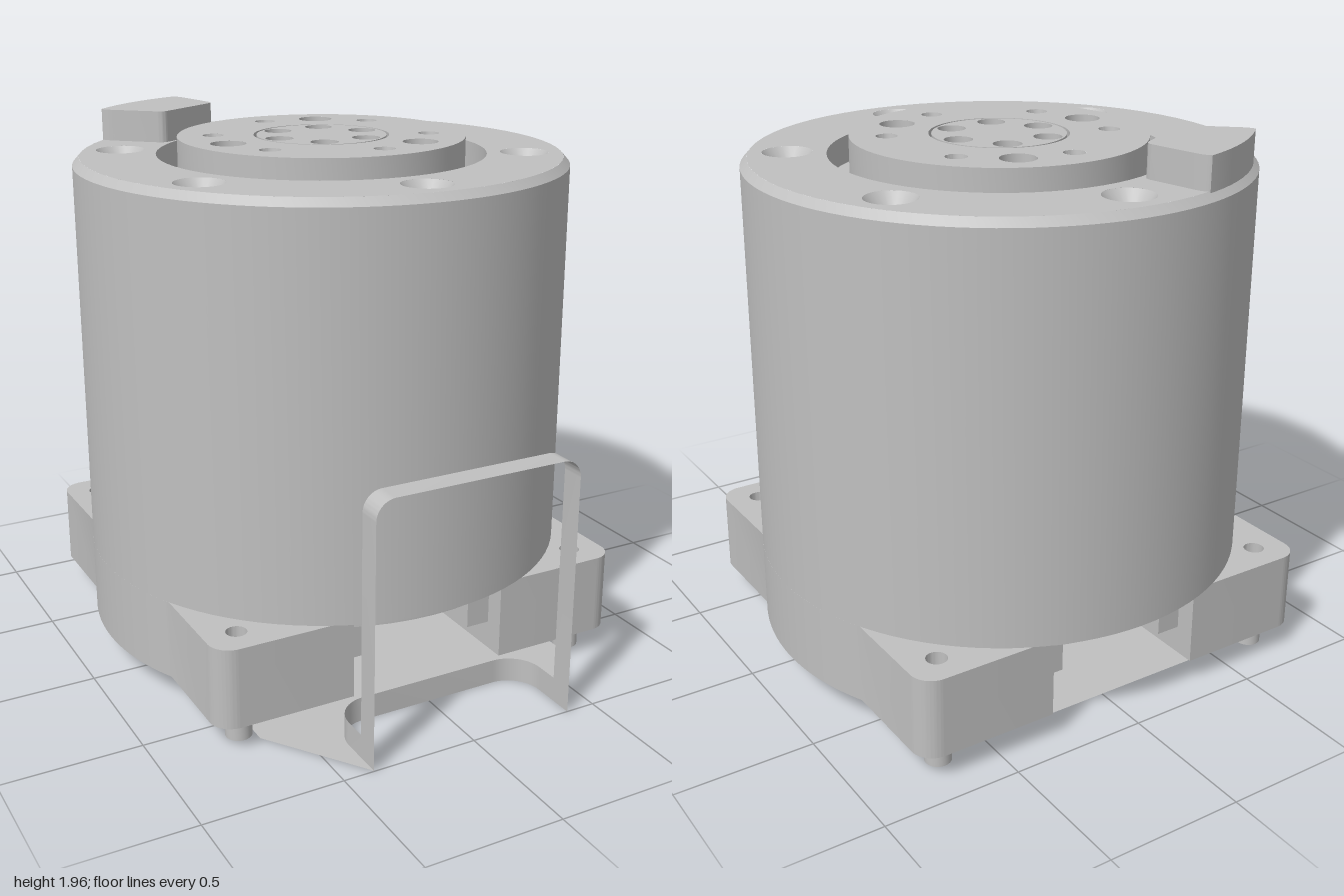
import * as THREE from 'three';
import { toCreasedNormals } from 'three/addons/utils/BufferGeometryUtils.js';

const CZ = -0.105; // z of the main axis
const metal = new THREE.MeshStandardMaterial({ color: 0xc0c0c0 });
metal.name = 'grey metal';
const sheetMetal = new THREE.MeshStandardMaterial({ color: 0xc0c0c0, side: THREE.DoubleSide });
sheetMetal.name = 'grey sheet metal';

const rad = (deg) => (deg * Math.PI) / 180;

function add(parent, name, geometry, material = metal) {
  const mesh = new THREE.Mesh(geometry, material);
  mesh.name = name;
  parent.add(mesh);
  return mesh;
}

const lathe = (profile, segments = 64) =>
  toCreasedNormals(new THREE.LatheGeometry(profile.map(([r, y]) => new THREE.Vector2(r, y)), segments), rad(25));

// evenly spaced [x, z] positions on a circle, angle measured from +x towards +z
function ringOf(count, radius, startDeg) {
  return Array.from({ length: count }, (_, i) => {
    const a = rad(startDeg + (i * 360) / count);
    return [radius * Math.cos(a), radius * Math.sin(a)];
  });
}

function circlePath(x, y, r) {
  return new THREE.Path().absarc(x, y, r, 0, Math.PI * 2, true);
}

// flat upward face with round holes; each hole is lined with a lathed cup
function drilledFace(parent, name, y, outer, inner, drills) {
  const shape = new THREE.Shape().absarc(0, 0, outer, 0, Math.PI * 2, false);
  if (inner) shape.holes.push(circlePath(0, 0, inner));
  for (const { at, cup, label } of drills) {
    const geometry = lathe(cup, 24);
    for (const [x, z] of at) {
      shape.holes.push(circlePath(x, -z, cup[0][0]));
      add(parent, label, geometry).position.set(x, y, z);
    }
  }
  const face = new THREE.ShapeGeometry(shape, 32);
  face.rotateX(-Math.PI / 2);
  add(parent, name, face).position.y = y;
}

// thin strip: a line of points swept along an offset vector
function ribbon(points, offset) {
  const pos = [];
  for (let i = 0; i < points.length - 1; i++) {
    const a = points[i], b = points[i + 1];
    const c = b.clone().add(offset), d = a.clone().add(offset);
    for (const p of [a, b, c, a, c, d]) pos.push(p.x, p.y, p.z);
  }
  const geometry = new THREE.BufferGeometry();
  geometry.setAttribute('position', new THREE.Float32BufferAttribute(pos, 3));
  return toCreasedNormals(geometry, rad(30));
}

function extrudeUp(shape, depth) {
  const geometry = new THREE.ExtrudeGeometry(shape, { depth, bevelEnabled: false, curveSegments: 20 });
  geometry.rotateX(-Math.PI / 2);
  return toCreasedNormals(geometry, rad(30));
}

export function createModel() {
  const model = new THREE.Group();
  model.name = 'motorUnit';
  const core = new THREE.Group();
  core.name = 'motorCore';
  core.position.z = CZ;
  model.add(core);

  // main housing and the groove around the output flange
  add(core, 'housing', lathe([[0, 0.39], [0.893, 0.39], [0.893, 1.812], [0.868, 1.84]], 96));
  add(core, 'flangeGroove', lathe([[0.597, 1.84], [0.597, 1.74], [0.52, 1.74], [0.52, 1.9]]));
  add(core, 'hubGroove', lathe([[0.245, 1.9], [0.245, 1.87], [0.235, 1.87], [0.235, 1.9]]));

  // drilled top faces
  drilledFace(core, 'housingTop', 1.84, 0.868, 0.597, [
    { label: 'mountingHole', at: ringOf(6, 0.733, 30), cup: [[0.088, 0], [0.05, -0.05], [0.05, -0.12], [0, -0.12]] },
  ]);
  drilledFace(core, 'outputFlange', 1.9, 0.52, 0.245, [
    { label: 'dowelHole', at: ringOf(3, 0.388, 54), cup: [[0.063, 0], [0.063, -0.08], [0, -0.08]] },
    { label: 'threadedHole', at: ringOf(6, 0.39, 24), cup: [[0.038, 0], [0.034, -0.03], [0, -0.06]] },
  ]);
  drilledFace(core, 'hub', 1.9, 0.235, 0, [
    { label: 'hubBolt', at: ringOf(6, 0.178, 54), cup: [[0.05, 0], [0.05, -0.03], [0.026, -0.03], [0.018, -0.06], [0, -0.06]] },
  ]);

  // connector cover: wedge with a curved outer edge, u = outward, t = sideways
  const cover = new THREE.Shape();
  const half = 0.252;
  cover.moveTo(0.6, -0.13);
  cover.quadraticCurveTo(0.6, -0.152, 0.625, -0.162);
  cover.lineTo(0.79, -0.215);
  cover.quadraticCurveTo(0.825, -0.226, 0.872 * Math.cos(half), -0.872 * Math.sin(half));
  cover.absarc(0, 0, 0.872, -half, half, false);
  cover.quadraticCurveTo(0.825, 0.226, 0.79, 0.215);
  cover.lineTo(0.625, 0.162);
  cover.quadraticCurveTo(0.6, 0.152, 0.6, 0.13);
  const coverMesh = add(core, 'connectorCover', extrudeUp(cover, 0.135));
  coverMesh.position.y = 1.82;
  coverMesh.rotation.y = rad(120);

  // base: two mirrored side blocks with a channel between them
  const H = 0.805, R = 0.893, c = 0.08;
  const bulge = Math.acos(H / R);
  const block = new THREE.Shape();
  block.moveTo(0.3, -H);
  block.lineTo(H - c, -H);
  block.absarc(H - c, -H + c, c, -Math.PI / 2, 0, false);
  block.absarc(0, 0, R, -bulge, bulge, false);
  block.absarc(H - c, H - c, c, 0, Math.PI / 2, false);
  block.lineTo(0.3, H);
  for (const s of [-1, 1]) block.holes.push(circlePath(0.685, 0.69 * s, 0.037));
  const blockGeometry = extrudeUp(block, 0.293);
  const pinGeometry = lathe([[0.037, 0.1], [0.037, 0], [0.047, 0], [0.047, 0.1]], 24);
  const tabGeometry = new THREE.BoxGeometry(0.09, 0.19, 0.1);
  for (const sx of [-1, 1]) {
    const side = add(core, 'baseBlock', blockGeometry);
    side.position.y = 0.097;
    side.rotation.y = sx < 0 ? Math.PI : 0;
    for (const sz of [-1, 1]) {
      add(core, 'hollowPin', pinGeometry).position.set(0.685 * sx, 0, 0.69 * sz);
      add(core, 'channelTab', tabGeometry).position.set(0.255 * sx, 0.295, 0.68 * sz);
    }
  }
  add(core, 'channelCeiling', new THREE.CylinderGeometry(0.835, 0.835, 0.04, 64)).position.y = 0.37;

  // bottom sheet with two front prongs around a rounded recess
  const recess = new THREE.Path();
  recess.moveTo(0.39, 1);
  recess.lineTo(0.39, 0.83);
  recess.absarc(0.27, 0.83, 0.12, 0, -Math.PI / 2, true);
  recess.absarc(-0.27, 0.83, 0.12, -Math.PI / 2, -Math.PI, true);
  recess.lineTo(-0.39, 1);
  const recessPoints = recess.getPoints(8);
  const rightEdge = [[0.635, -0.795], [0.635, -0.745], [0.685, -0.745], [0.685, 0.535], [0.635, 0.535], [0.635, 0.65]];
  const leftEdge = rightEdge.map(([x, z]) => [-x, z]).reverse();
  const outline = [...rightEdge, ...recessPoints.map((p) => [p.x, p.y]), ...leftEdge];
  const sheet = new THREE.ShapeGeometry(new THREE.Shape(outline.map(([x, z]) => new THREE.Vector2(x, -z))));
  sheet.rotateX(-Math.PI / 2);
  add(model, 'bottomSheet', sheet, sheetMetal).position.y = 0.003;
  add(model, 'recessWall',
    ribbon(recessPoints.map((p) => new THREE.Vector3(p.x, 0, p.y)), new THREE.Vector3(0, 0.09, 0)), sheetMetal);

  // thin upright arch at the front
  const arch = new THREE.Path();
  arch.moveTo(0.39, 0.09);
  arch.lineTo(0.39, 0.885);
  arch.absarc(0.32, 0.885, 0.07, 0, Math.PI / 2, false);
  arch.absarc(-0.32, 0.885, 0.07, Math.PI / 2, Math.PI, false);
  arch.lineTo(-0.39, 0.09);
  add(model, 'frontArch',
    ribbon(arch.getPoints(8).map((p) => new THREE.Vector3(p.x, p.y, 0.913)), new THREE.Vector3(0, 0, 0.087)), sheetMetal);

  return model;
}
